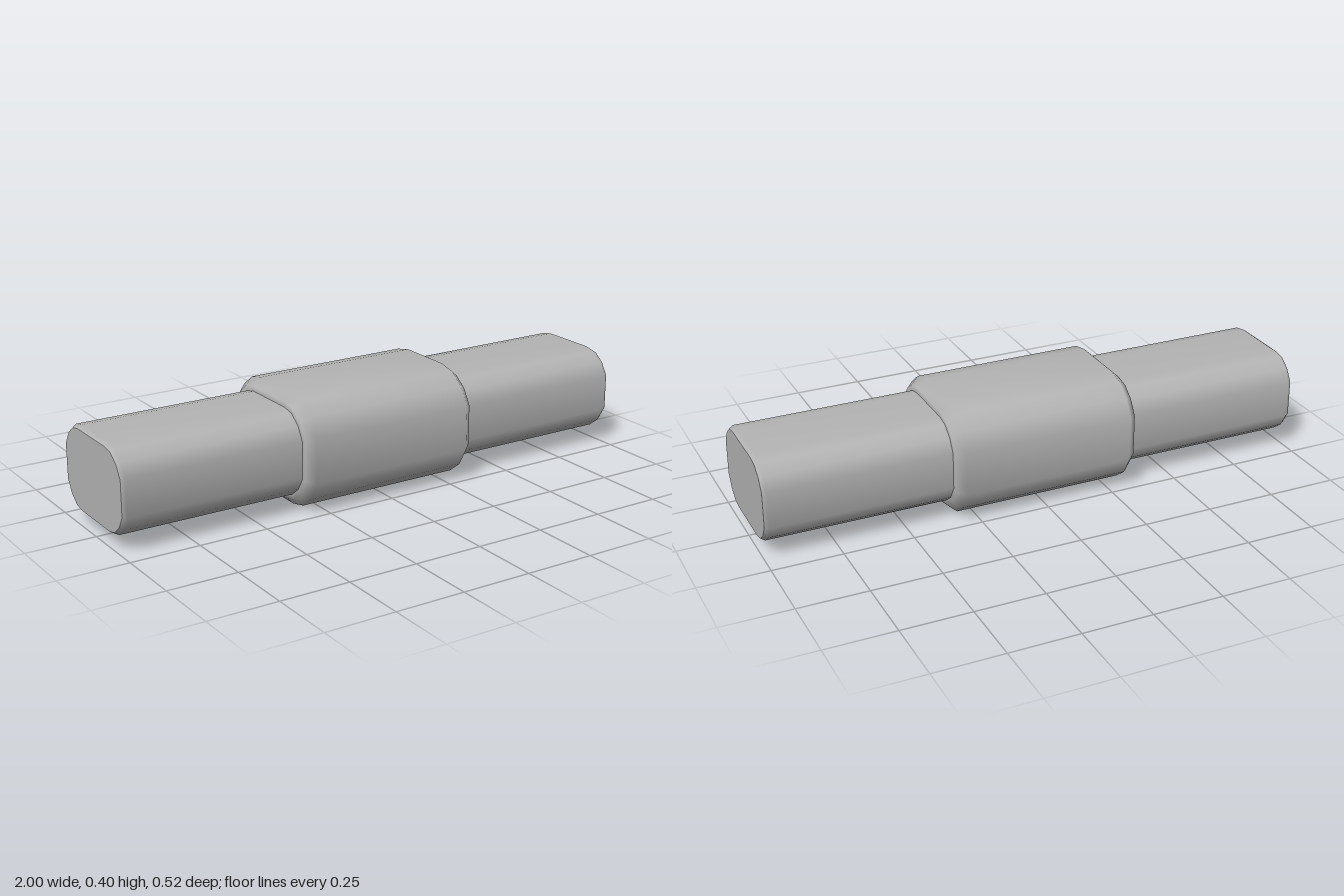
import * as THREE from 'three';

const CENTRE_Y = 0.2;
// Quarter outlines [z, y] of the sleeve and of the bar, from the side to the top
const SLEEVE = [[0.259, 0.08], [0.222, 0.145], [0.168, 0.186], [0.104, 0.2]];
const BAR = [[0.216, 0.066], [0.188, 0.114], [0.148, 0.145], [0.104, 0.154]];

// Full closed outline, blended from sleeve (t = 0) to bar (t = 1)
function outline(t) {
  const q = SLEEVE.map(([z, y], i) => [
    THREE.MathUtils.lerp(z, BAR[i][0], t),
    THREE.MathUtils.lerp(y, BAR[i][1], t),
  ]);
  const half = [...q, ...q.slice().reverse().map(([z, y]) => [-z, y])];
  return [...half, ...half.map(([z, y]) => [-z, -y])];
}

// Smooth skin through stations [x, t], listed from -x to +x
function loft(stations) {
  const positions = [], index = [];
  const n = outline(0).length;
  for (const [x, t] of stations) {
    for (const [z, y] of outline(t)) positions.push(x, y, z);
  }
  for (let i = 0; i < stations.length - 1; i++) {
    for (let j = 0; j < n; j++) {
      const a = i * n + j, c = i * n + (j + 1) % n;
      index.push(a, a + n, c, a + n, c + n, c);
    }
  }
  const geometry = new THREE.BufferGeometry();
  geometry.setAttribute('position', new THREE.Float32BufferAttribute(positions, 3));
  geometry.setIndex(index);
  geometry.computeVertexNormals();
  return geometry;
}

// Flat end facing +x or -x
function endCap(x, t) {
  const shape = new THREE.Shape(outline(t).map(([z, y]) => new THREE.Vector2(z, y)));
  const geometry = new THREE.ShapeGeometry(shape);
  geometry.rotateY(Math.sign(x) * Math.PI / 2);
  return geometry.translate(x, 0, 0);
}

// Repeat the +x half of a profile on the -x side
const mirrored = (half) => [
  ...half.slice().reverse().map(([x, t]) => [-x, t]),
  ...half,
];

export function createModel() {
  const group = new THREE.Group();
  const grey = new THREE.MeshStandardMaterial({ color: 0xb4b4b4 });
  grey.name = 'grey';

  const add = (name, geometry) => {
    const mesh = new THREE.Mesh(geometry, grey);
    mesh.name = name;
    mesh.position.y = CENTRE_Y;
    group.add(mesh);
  };

  // Bar running the whole length, with slightly bevelled ends
  add('bar', loft(mirrored([[0.3, 1], [0.985, 1], [1, 1.22]])));
  add('leftEnd', endCap(1, 1.22));
  add('rightEnd', endCap(-1, 1.22));

  // Thicker sleeve around the middle, with bevelled rims
  add('sleeve', loft(mirrored([[0.31, 0], [0.34, 0.6], [0.34, 1.02]])));

  return group;
}
